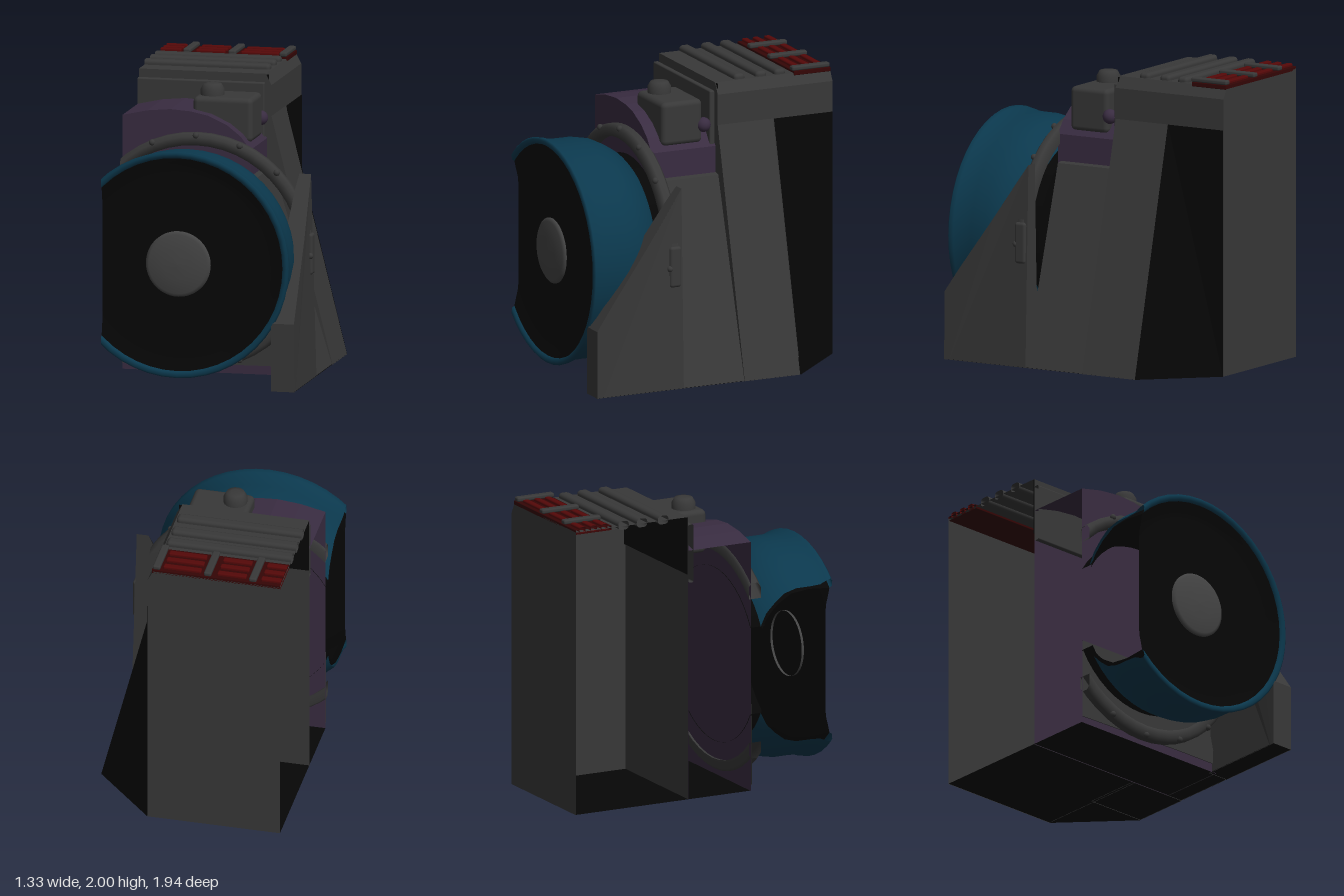
import * as THREE from 'three';
import { RoundedBoxGeometry } from 'three/addons/geometries/RoundedBoxGeometry.js';

const CUT = -0.67; // plane where the model is sliced open

function mat(name, color) {
  const m = new THREE.MeshStandardMaterial({ color, side: THREE.DoubleSide });
  m.name = name;
  return m;
}

// Removes everything below `min` on one axis (0 = x, 1 = y), leaving the cut open
function clip(geo, axis, min) {
  const g = geo.index ? geo.toNonIndexed() : geo;
  const p = g.attributes.position, n = g.attributes.normal;
  const pos = [], nor = [];
  for (let i = 0; i < p.count; i += 3) {
    const poly = [];
    for (let k = 0; k < 3; k++) {
      const a = i + k, b = i + (k + 1) % 3;
      const va = new THREE.Vector3().fromBufferAttribute(p, a);
      const vb = new THREE.Vector3().fromBufferAttribute(p, b);
      const na = new THREE.Vector3().fromBufferAttribute(n, a);
      const nb = new THREE.Vector3().fromBufferAttribute(n, b);
      const da = va.getComponent(axis) - min, db = vb.getComponent(axis) - min;
      if (da >= 0) poly.push([va, na]);
      if ((da >= 0) !== (db >= 0)) {
        const t = da / (da - db);
        poly.push([va.clone().lerp(vb, t), na.clone().lerp(nb, t).normalize()]);
      }
    }
    for (let k = 1; k + 1 < poly.length; k++) {
      for (const [v, m] of [poly[0], poly[k], poly[k + 1]]) {
        pos.push(v.x, v.y, v.z);
        nor.push(m.x, m.y, m.z);
      }
    }
  }
  const out = new THREE.BufferGeometry();
  out.setAttribute('position', new THREE.Float32BufferAttribute(pos, 3));
  out.setAttribute('normal', new THREE.Float32BufferAttribute(nor, 3));
  return out;
}

const shapeOf = (pts) => new THREE.Shape(pts.map(([x, y]) => new THREE.Vector2(x, y)));

// Profile in x-y, extruded from z0 to z1
function prism(pts, z0, z1) {
  return new THREE.ExtrudeGeometry(shapeOf(pts), { depth: z1 - z0, bevelEnabled: false }).translate(0, 0, z0);
}

// Box from its min and max corners, with rounded edges
function box(x0, x1, y0, y1, z0, z1, r = 0.01) {
  return new RoundedBoxGeometry(x1 - x0, y1 - y0, z1 - z0, 2, r)
    .translate((x0 + x1) / 2, (y0 + y1) / 2, (z0 + z1) / 2);
}

// Lathe about the engine axis; the profile is [radius, z]
function turned(pts) {
  return new THREE.LatheGeometry(pts.map(([r, z]) => new THREE.Vector2(r, z)), 48)
    .rotateX(Math.PI / 2).translate(-0.15, 0.83, 0);
}

export function createModel() {
  const group = new THREE.Group();
  const gray = mat('dark gray', 0x383838);
  const hubGray = mat('hub gray', 0x444444);
  const purple = mat('dull purple', 0x392c41);
  const blue = mat('deep blue', 0x0b384d);
  const black = mat('black', 0x060606);
  const red = mat('dark red', 0x540808);
  const deepRed = mat('deep red', 0x340505);

  const add = (name, geo, material) => {
    const mesh = new THREE.Mesh(clip(clip(geo, 0, CUT), 1, 0), material);
    mesh.name = name;
    group.add(mesh);
  };

  // Floor
  const floor = [[0.66, 0.97], [0.66, -0.53], [0.24, -0.97], [CUT, -0.97], [CUT, 0.35], [0.5, 0.35], [0.5, 0.97]];
  add('floor', new THREE.ShapeGeometry(shapeOf(floor)).rotateX(Math.PI / 2).translate(0, 0.003, 0), black);

  // Tower, hollow towards the cut side
  add('tower', prism([[-0.8, -0.1], [0.24, -0.1], [0.24, 1.88], [0.2, 1.955], [-0.8, 1.955]], -0.97, -0.12), gray);
  add('towerFrontStep', box(-0.8, 0.2, 1.5, 1.9, -0.118, -0.08), gray);
  add('towerInnerShade', prism([[-0.8, 1.56], [0.22, 1.56], [0.22, 1.95], [-0.8, 1.95]], -0.13, -0.124), black);
  add('towerFlank', prism([[0.22, -0.1], [0.685, -0.1], [0.24, 1.67], [0.22, 1.67]], -0.53, -0.12), gray);

  // Dark recess at the back of the flank
  const e = 0.004;
  const a = [0.24 + e, 1.67, -0.53 - e], b = [0.66, 0, -0.53 - e], c = [0.24 + e, 0, -0.968], d = [0.24 + e, 1.67, -0.968];
  const recess = new THREE.BufferGeometry();
  recess.setAttribute('position', new THREE.Float32BufferAttribute([a, b, c, a, c, d].flat(), 3));
  recess.computeVertexNormals();
  add('flankRecess', recess, black);

  // Roof ribs
  for (const z of [-0.31, -0.47, -0.61]) {
    add('roofRib', box(-0.8, 0.19, 1.93, 1.99, z - 0.04, z + 0.04, 0.025), gray);
  }

  // Red grille with dividers
  add('grilleBed', box(-0.8, 0.21, 1.94, 1.97, -0.97, -0.7, 0.004), deepRed);
  for (const [x0, x1] of [[-0.8, -0.53], [-0.43, -0.23], [-0.12, 0.14]]) {
    for (const z of [-0.92, -0.835, -0.755]) {
      add('grilleSlat', box(x0, x1, 1.95, 1.988, z - 0.022, z + 0.022, 0.01), red);
    }
  }
  for (const x of [-0.48, -0.17, 0.18]) {
    add('grilleDivider', box(x - 0.026, x + 0.026, 1.968, 2, -0.97, -0.69, 0.012), gray);
  }

  // Middle body with a rounded shoulder
  add('middleBody', prism([
    [-0.8, -0.1], [0.57, -0.1], [0.54, 0], [0.21, 1.3], [0.21, 1.52], [0.14, 1.61], [0.05, 1.68],
    [-0.08, 1.74], [-0.2, 1.765], [-0.34, 1.775], [-0.5, 1.76], [-0.68, 1.72], [-0.8, 1.7],
  ], -0.118, 0.355), purple);
  add('bodySidePlate', prism([[0.565, -0.1], [0.68, -0.1], [0.655, 0], [0.25, 1.33], [0.205, 1.34], [0.205, 1.3]], -0.12, 0.33), gray);
  add('frontPlate', prism([[-0.8, 0.04], [0.2, 0.06], [0.53, 0.06], [0.4, 0.6], [-0.8, 0.6]], 0.357, 0.363), gray);
  add('sideKnob', new THREE.SphereGeometry(0.05, 16, 12).translate(0.185, 1.67, -0.04), purple);

  // Control box with a domed cap
  add('controlBox', box(-0.21, 0.2, 1.55, 1.85, -0.03, 0.27, 0.035), gray);
  const cap = [[0.08, 0], [0.08, 0.05], [0.06, 0.085], [0.03, 0.09], [0, 0.09]];
  add('controlCap', new THREE.LatheGeometry(cap.map(([r, y]) => new THREE.Vector2(r, y)), 20)
    .translate(-0.1, 1.84, 0.15), gray);

  // Collar ring with bolts, and the neck behind the bell
  add('collarRing', turned([
    [0.72, 0.34], [0.78, 0.34], [0.8, 0.36], [0.8, 0.405], [0.775, 0.43], [0.72, 0.43], [0.72, 0.34],
  ]), gray);
  for (let i = 0; i < 16; i++) {
    const t = (i / 16) * Math.PI * 2;
    add('collarBolt', new THREE.SphereGeometry(0.022, 10, 8)
      .translate(-0.15 + 0.785 * Math.cos(t), 0.83 + 0.785 * Math.sin(t), 0.42), gray);
  }
  add('neck', turned([[0.6, 0.35], [0.6, 0.46]]), black);

  // Engine bell
  add('bell', turned([
    [0.6, 0.43], [0.645, 0.47], [0.69, 0.54], [0.725, 0.61], [0.742, 0.7], [0.742, 0.8],
    [0.745, 0.88], [0.762, 0.93], [0.768, 0.96], [0.755, 0.972], [0.73, 0.968], [0.722, 0.95],
  ]), blue);
  add('bellLining', turned([
    [0.59, 0.44], [0.63, 0.48], [0.68, 0.56], [0.72, 0.66], [0.73, 0.8], [0.722, 0.95],
  ]), black);
  add('bellFace', turned([[0.722, 0.95], [0.69, 0.94], [0.65, 0.925], [0.62, 0.92], [0, 0.915]]), black);
  add('hub', turned([[0.222, 0.9], [0.222, 0.925], [0.2, 0.94], [0.1, 0.952], [0, 0.955]]), hubGray);

  // Side fin, leaning inwards towards its top
  const fin = new THREE.ExtrudeGeometry(
    shapeOf([[0.97, -0.1], [0.97, 0.46], [0.86, 0.62], [0.6, 0.98], [0.4, 1.27], [0.33, 1.37], [0.33, -0.1]]),
    { depth: 0.16, bevelEnabled: false },
  ).rotateY(-Math.PI / 2).translate(0.66, 0, 0);
  const p = fin.attributes.position;
  for (let i = 0; i < p.count; i++) {
    const t = p.getY(i) / 1.37;
    p.setX(i, p.getX(i) > 0.6 ? 0.66 - 0.04 * t * t : 0.5 + 0.04 * t ** 6);
  }
  fin.computeVertexNormals();
  add('sideFin', fin, gray);
  add('finPad', box(0.58, 0.652, 0.7, 0.98, 0.34, 0.425, 0.02), gray);

  return group;
}
